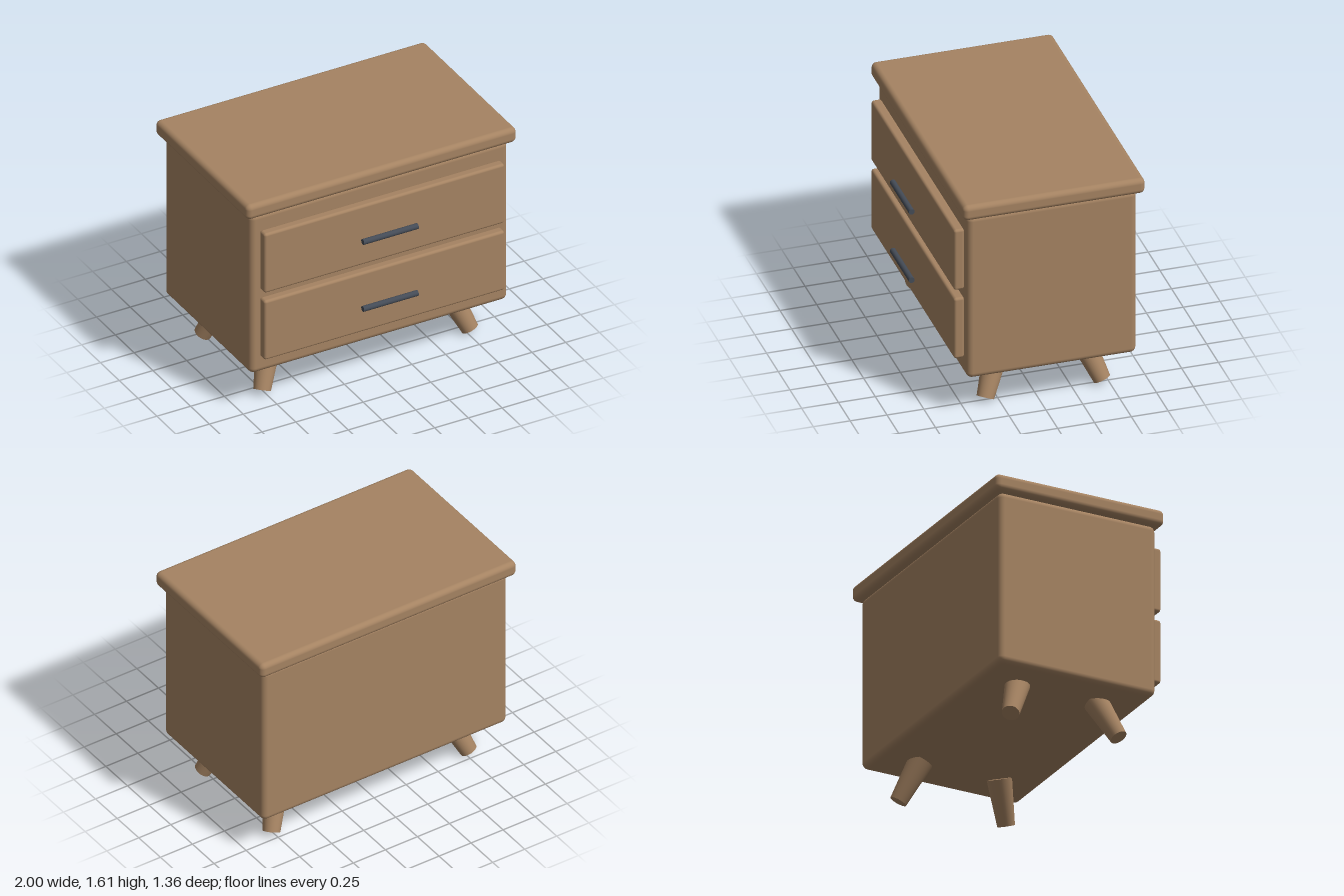
import * as THREE from 'three';
import { RoundedBoxGeometry } from 'three/addons/geometries/RoundedBoxGeometry.js';

const CENTRE_Z = -0.057; // middle of the cabinet, the handles project forward

export function createModel() {
  const group = new THREE.Group();
  group.name = 'nightstand';
  const wood = new THREE.MeshStandardMaterial({ color: 0xa58362 });
  wood.name = 'brown wood';
  const metal = new THREE.MeshStandardMaterial({ color: 0x444b56 });
  metal.name = 'dark metal';

  const add = (name, geometry, material, x, y, z) => {
    const mesh = new THREE.Mesh(geometry, material);
    mesh.name = name;
    mesh.position.set(x, y, z);
    group.add(mesh);
    return mesh;
  };

  // Cabinet and overhanging top
  add('cabinet', new RoundedBoxGeometry(1.91, 1.21, 1.15, 4, 0.04), wood, 0, 0.895, CENTRE_Z);
  add('top', new RoundedBoxGeometry(2, 0.11, 1.235, 4, 0.035), wood, 0, 1.55, -0.06);

  // Drawer fronts with floating bar handles
  [['lower', 0.645], ['upper', 1.155]].forEach(([level, y]) => {
    add(level + 'Drawer', new RoundedBoxGeometry(1.78, 0.45, 0.07, 4, 0.018), wood, 0, y, 0.553);
    const bar = new THREE.CylinderGeometry(0.02, 0.02, 0.405, 24);
    add(level + 'Handle', bar, metal, 0, y, 0.658).rotation.z = Math.PI / 2;
  });

  // Tapered legs splayed towards the four corners
  const up = new THREE.Vector3(0, 1, 0);
  for (const sx of [1, -1]) {
    for (const sz of [1, -1]) {
      const foot = new THREE.Vector3(sx * 0.77, 0.028, CENTRE_Z + sz * 0.396);
      const head = new THREE.Vector3(sx * 0.662, 0.298, CENTRE_Z + sz * 0.288);
      const axis = head.clone().sub(foot);
      const middle = foot.clone().add(head).multiplyScalar(0.5);
      const name = (sz > 0 ? 'front' : 'back') + (sx > 0 ? 'Left' : 'Right') + 'Leg';
      const leg = add(name, new THREE.CylinderGeometry(0.083, 0.058, axis.length(), 32), wood, middle.x, middle.y, middle.z);
      leg.quaternion.setFromUnitVectors(up, axis.normalize());
    }
  }
  return group;
}
